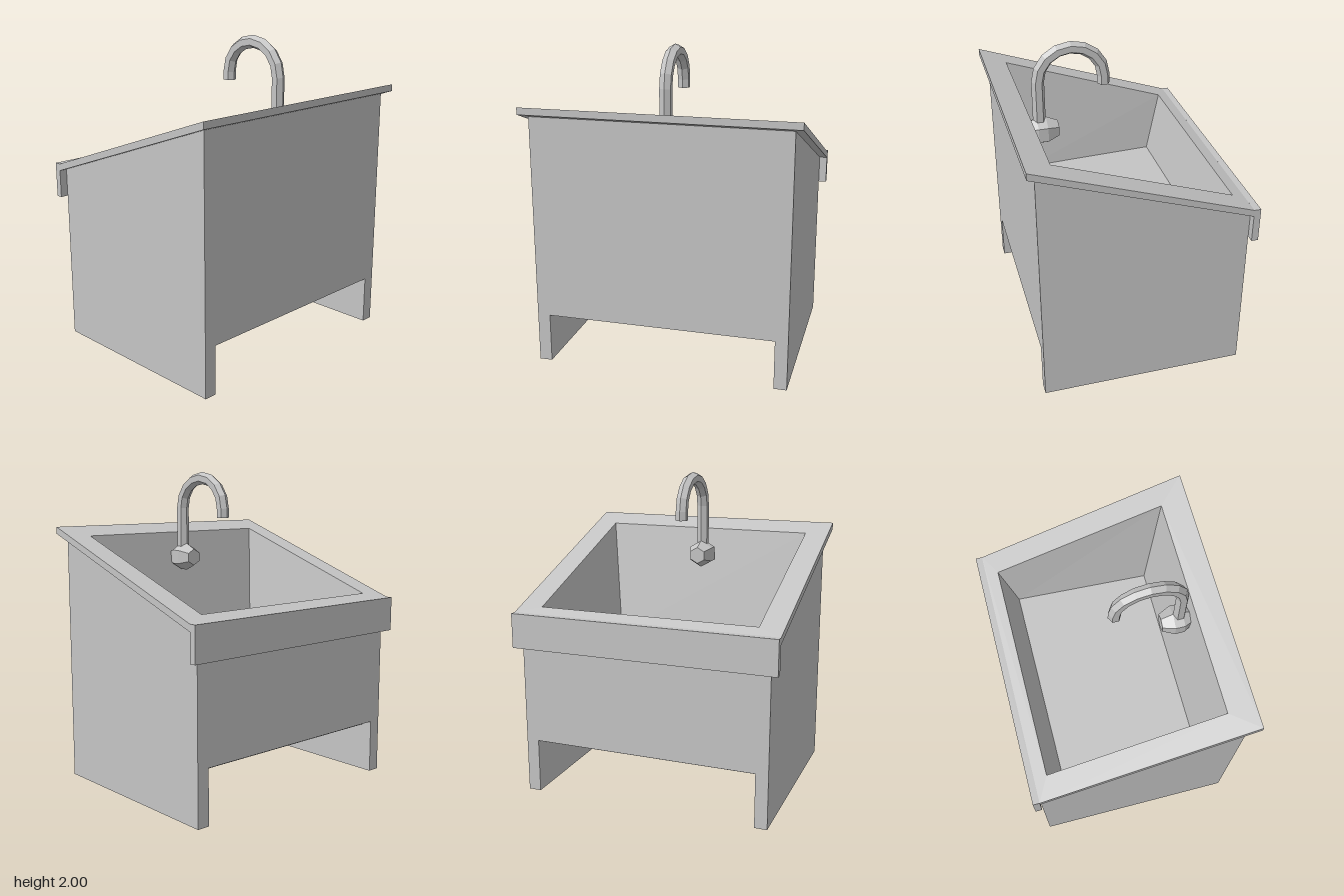
import * as THREE from 'three';

const grey = new THREE.MeshStandardMaterial({ color: 0xc4c4c4 });
grey.name = 'steelGrey';

// Height of the sloping underside and top of the rim at depth z
const under = z => 1.363 + 0.352 * z;
const top = z => 1.407 + 0.352 * z;

function mesh(name, geometry) {
  const m = new THREE.Mesh(geometry, grey);
  m.name = name;
  return m;
}

// Flat-faced skin over equal-length rings of [x, y, z] points, with optional caps
function loft(rings, capStart, capEnd) {
  const pos = [];
  const tri = (a, b, c) => pos.push(...a, ...b, ...c);
  const n = rings[0].length;
  for (let i = 0; i < rings.length - 1; i++) {
    for (let j = 0; j < n; j++) {
      const k = (j + 1) % n, p = rings[i], q = rings[i + 1];
      tri(p[j], p[k], q[k]);
      tri(p[j], q[k], q[j]);
    }
  }
  const first = rings[0], last = rings[rings.length - 1];
  for (let j = 1; j < n - 1; j++) {
    if (capStart) tri(first[0], first[j + 1], first[j]);
    if (capEnd) tri(last[0], last[j], last[j + 1]);
  }
  const g = new THREE.BufferGeometry();
  g.setAttribute('position', new THREE.Float32BufferAttribute(pos, 3));
  g.computeVertexNormals();
  return g;
}

// Six-sided sweep along a [z, y] path lying in the centre plane
function sweep(path, radius) {
  const rings = path.map(([z, y], i) => {
    const a = path[Math.max(i - 1, 0)], b = path[Math.min(i + 1, path.length - 1)];
    const len = Math.hypot(b[0] - a[0], b[1] - a[1]);
    const tz = (b[0] - a[0]) / len, ty = (b[1] - a[1]) / len;
    return Array.from({ length: 6 }, (_, j) => {
      const t = j * Math.PI / 3, r = radius(i), c = r * Math.cos(t);
      return [r * Math.sin(t), y - c * tz, z + c * ty];
    });
  });
  return loft(rings, true, true);
}

// Panel with a [z, y] outline, running from x0 to x1
function panel(outline, x0, x1) {
  const shape = new THREE.Shape(outline.map(p => new THREE.Vector2(...p)));
  const g = new THREE.ExtrudeGeometry(shape, { depth: x1 - x0, bevelEnabled: false });
  return g.rotateY(-Math.PI / 2).translate(x1, 0, 0);
}

// Cabinet panel standing from y0 up to the sloping rim
const slopedPanel = (z0, z1, y0, x0, x1) =>
  panel([[z0, y0], [z1, y0], [z1, under(z1)], [z0, under(z0)]], x0, x1);

// Four corners of a basin ring, symmetric in x
const corners = (xf, zf, yf, xb, zb, yb) =>
  [[xf, yf, zf], [xb, yb, zb], [-xb, yb, zb], [-xf, yf, zf]];

export function createModel() {
  const group = new THREE.Group();
  group.name = 'sink';

  // Cabinet: sides reach the floor, front and back stop above it
  group.add(mesh('leftSide', slopedPanel(-0.645, 0.64, 0, 0.72, 0.8)));
  group.add(mesh('rightSide', slopedPanel(-0.645, 0.64, 0, -0.8, -0.72)));
  group.add(mesh('frontPanel', slopedPanel(0.565, 0.64, 0.312, -0.72, 0.72)));
  group.add(mesh('backPanel', slopedPanel(-0.645, -0.575, 0.345, -0.72, 0.72)));
  const base = new THREE.BoxGeometry(1.44, 0.08, 1.14);
  group.add(mesh('cabinetBase', base.translate(0, 0.352, -0.005)));

  // Sloping rim folding into the tapered basin with a level floor
  group.add(mesh('rimAndBasin', loft([
    corners(0.79, 0.63, under(0.63), 0.79, -0.635, under(-0.635)),
    corners(0.85, 0.69, under(0.69), 0.85, -0.645, under(-0.645)),
    corners(0.85, 0.69, top(0.69), 0.85, -0.645, top(-0.645)),
    corners(0.7, 0.53, top(0.53), 0.7, -0.565, top(-0.565)),
    corners(0.615, 0.425, 0.81, 0.66, -0.47, 0.81),
  ], false, true)));

  // Apron hanging from the low edge
  const apron = new THREE.BoxGeometry(1.7, 0.22, 0.042);
  group.add(mesh('apron', apron.translate(0, 1.07, -0.666)));

  // Gooseneck tap
  const neck = [[0.45, 1.43]];
  for (let i = 0; i <= 8; i++) {
    const a = i * Math.PI / 8;
    neck.push([0.245 + 0.205 * Math.cos(a), 1.76 + 0.2 * Math.sin(a)]);
  }
  neck.push([0.04, 1.705]);
  group.add(mesh('tapNeck', sweep(neck, () => 0.04)));

  // Faceted tap body on the basin wall
  const radii = [0.062, 0.09, 0.09, 0.055];
  const body = [[0.52, 1.43], [0.47, 1.43], [0.41, 1.43], [0.335, 1.43]];
  group.add(mesh('tapBody', sweep(body, i => radii[i])));

  return group;
}
